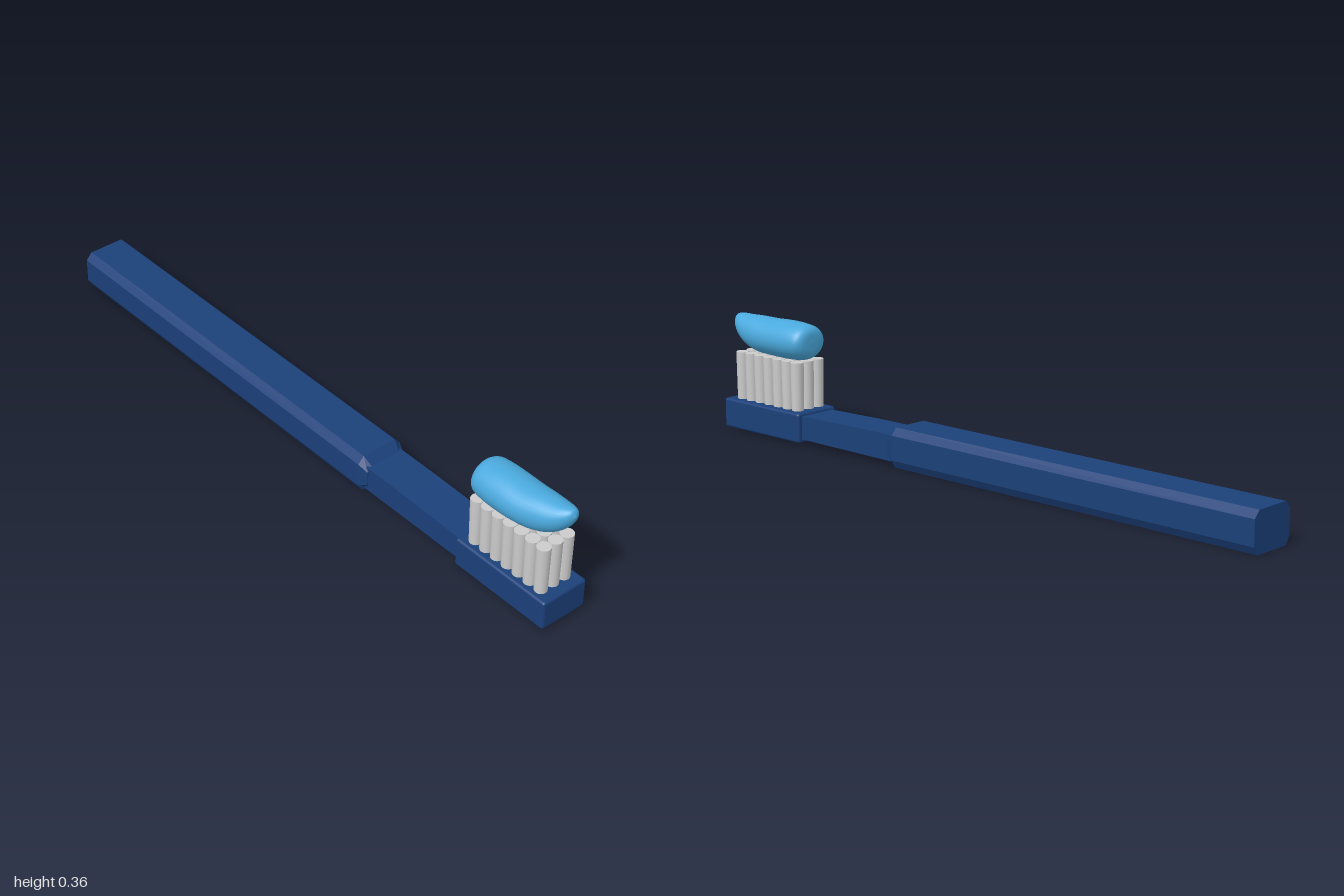
import * as THREE from 'three';
import { RoundedBoxGeometry } from 'three/addons/geometries/RoundedBoxGeometry.js';

const navy = new THREE.MeshStandardMaterial({ color: 0x1b4079 });
const navyFlat = new THREE.MeshStandardMaterial({ color: 0x1b4079, flatShading: true });
const grey = new THREE.MeshStandardMaterial({ color: 0xcccccc });
const aqua = new THREE.MeshStandardMaterial({ color: 0x4aa9dd });

// Closed skin over rings listed from back to front, each counterclockwise seen from +z
function loft(rings, smooth) {
  const n = rings[0].length, last = rings.length - 1;
  const pos = [], index = [];
  rings.forEach(r => r.forEach(p => pos.push(...p)));
  for (let i = 0; i < last; i++) {
    for (let j = 0; j < n; j++) {
      const a = i * n + j, b = i * n + (j + 1) % n;
      index.push(a, b, b + n, a, b + n, a + n);
    }
  }
  // End caps fan out from the middle of the first and last ring
  [0, last].forEach(i => {
    const c = pos.length / 3;
    pos.push(...[0, 1, 2].map(k => rings[i].reduce((s, p) => s + p[k], 0) / n));
    for (let j = 0; j < n; j++) {
      const a = i * n + j, b = i * n + (j + 1) % n;
      index.push(c, ...(i ? [a, b] : [b, a]));
    }
  });
  let geo = new THREE.BufferGeometry();
  geo.setAttribute('position', new THREE.Float32BufferAttribute(pos, 3));
  geo.setIndex(index);
  if (!smooth) geo = geo.toNonIndexed();
  geo.computeVertexNormals();
  return geo;
}

function add(parent, name, geo, mat) {
  const mesh = new THREE.Mesh(geo, mat);
  mesh.name = name;
  parent.add(mesh);
  return mesh;
}

// Chamfered handle section, shrunk about its middle at the front end
function handleRing(z, sx = 1, sy = 1) {
  const half = [[0.06, 0], [0.075, 0.024], [0.075, 0.097], [0.056, 0.118]];
  const all = [...half, ...half.slice().reverse().map(([x, y]) => [-x, y])];
  return all.map(([x, y]) => [x * sx, 0.055 + (y - 0.055) * sy, z]);
}

const rectRing = (z, w, y0, y1) => [[w, y0, z], [w, y1, z], [-w, y1, z], [-w, y0, z]];

// Paste: stations of centre x, centre y, half width, half height and z
function pasteGeometry() {
  const stations = [
    [-0.002, 0.300, 0.004, 0.004, 0.684],
    [-0.002, 0.299, 0.042, 0.036, 0.688],
    [-0.003, 0.298, 0.060, 0.050, 0.703],
    [-0.003, 0.297, 0.066, 0.056, 0.735],
    [-0.003, 0.297, 0.067, 0.058, 0.790],
    [-0.001, 0.297, 0.065, 0.056, 0.850],
    [0.004, 0.300, 0.058, 0.055, 0.900],
    [0.009, 0.309, 0.047, 0.046, 0.945],
    [0.013, 0.322, 0.033, 0.034, 0.975],
    [0.015, 0.332, 0.019, 0.021, 0.991],
    [0.015, 0.336, 0.003, 0.003, 0.999],
  ];
  const size = new THREE.CatmullRomCurve3(stations.map(s => new THREE.Vector3(s[2], s[3], s[4])));
  const mid = new THREE.CatmullRomCurve3(stations.map(s => new THREE.Vector3(s[0], s[1], s[4])));
  const rings = [];
  for (let i = 0; i <= 50; i++) {
    const s = size.getPoint(i / 50), c = mid.getPoint(i / 50);
    const ring = [];
    for (let j = 0; j < 32; j++) {
      const a = j / 32 * Math.PI * 2;
      ring.push([c.x + s.x * Math.cos(a), c.y + s.y * Math.sin(a), s.z]);
    }
    rings.push(ring);
  }
  return loft(rings, true);
}

export function createModel() {
  const brush = new THREE.Group();
  brush.name = 'toothbrush';

  // Handle, neck and head
  add(brush, 'handle', loft([handleRing(-1), handleRing(0.278), handleRing(0.305, 0.87, 0.6)]), navyFlat);
  add(brush, 'neck', loft([rectRing(0.28, 0.062, 0.016, 0.094), rectRing(0.46, 0.062, 0.017, 0.093),
    rectRing(0.69, 0.062, 0.018, 0.088)]), navyFlat);
  add(brush, 'head', new RoundedBoxGeometry(0.152, 0.09, 0.332, 3, 0.008), navy).position.set(0, 0.052, 0.834);

  // Bristle tufts, slightly wider at the tip
  const bristles = new THREE.Group();
  bristles.name = 'bristles';
  const tuft = new THREE.CylinderGeometry(0.02, 0.018, 0.153, 16);
  for (let row = 0; row < 7; row++) {
    for (let col = -1; col <= 1; col++) {
      add(bristles, 'tuft', tuft, grey).position.set(-0.002 + col * 0.0405, 0.1665, 0.71 + row * 0.0405);
    }
  }
  brush.add(bristles);

  // Blob of paste with its tip curled up at the front
  add(brush, 'paste', pasteGeometry(), aqua);
  return brush;
}
